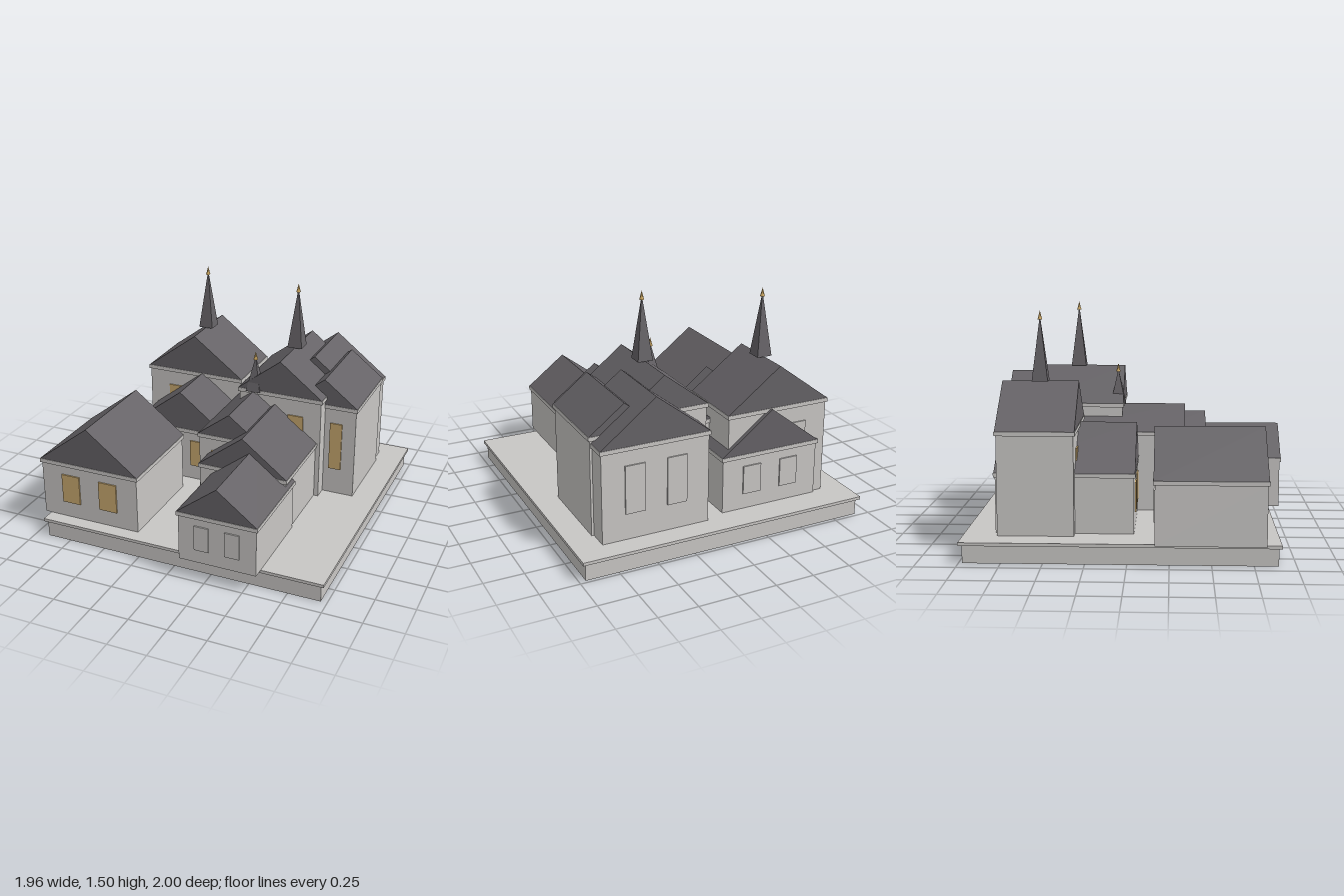
import * as THREE from 'three';

const mat = (name, color) => Object.assign(new THREE.MeshStandardMaterial({ color }), { name });

const GROUND = 0.13;

// x range, z range, eave height, ridge height, front window colour, spire height
const HOUSES = [
  { name: 'frontLeftHouse', x: [-0.98, -0.28], z: [0.155, 0.83], eave: 0.52, ridge: 0.787, lit: true },
  { name: 'middleLeftHouse', x: [-0.705, -0.015], z: [-0.82, 0.045], eave: 0.503, ridge: 0.768, lit: true },
  { name: 'backLeftHall', x: [-0.775, -0.06], z: [-0.8, -0.315], eave: 0.768, ridge: 1.035, lit: true, spire: 0.385 },
  { name: 'centralHall', x: [0.02, 0.612], z: [-0.695, -0.06], eave: 0.832, ridge: 1.06, lit: true, spire: 0.385 },
  { name: 'rightHall', x: [0.365, 0.825], z: [-0.735, -0.15], eave: 0.772, ridge: 0.947, lit: true },
  { name: 'backRightHall', x: [0.09, 0.81], z: [-0.865, -0.355], eave: 0.73, ridge: 1.008, lit: true },
  { name: 'centralChapel', x: [-0.088, 0.348], z: [-0.55, 0.35], eave: 0.657, ridge: 0.82, lit: true, spire: 0.22 },
  { name: 'frontWing', x: [-0.02, 0.582], z: [-0.2, 0.492], eave: 0.52, ridge: 0.75, lit: true },
  { name: 'frontPorch', x: [0.067, 0.593], z: [0.362, 0.995], eave: 0.46, ridge: 0.66, lit: false },
];

export function createModel() {
  const stone = mat('stone', 0xc8c6c4);
  const slate = mat('slate', 0x656266);
  const glow = mat('windowGlow', 0xc9a970);
  const gold = mat('gold', 0xc8a35c);

  const model = new THREE.Group();
  model.name = 'houseCluster';

  const add = (parent, name, geometry, material, x, y, z) => {
    const mesh = new THREE.Mesh(geometry, material);
    mesh.name = name;
    mesh.position.set(x, y, z);
    parent.add(mesh);
    return mesh;
  };
  const box = (parent, name, w, h, d, material, x, y, z) =>
    add(parent, name, new THREE.BoxGeometry(w, h, d), material, x, y, z);

  // Solid gable roof with its ridge along z
  const gable = (w, h, d) => {
    const s = new THREE.Shape();
    s.moveTo(-w / 2, 0).lineTo(w / 2, 0).lineTo(0, h).closePath();
    return new THREE.ExtrudeGeometry(s, { depth: d, bevelEnabled: false }).translate(0, 0, -d / 2);
  };

  // Square pyramid spire with a gold finial
  const addSpire = (parent, x, y, z, h) => {
    const cone = new THREE.CylinderGeometry(0.004, 0.05 * Math.SQRT2, h, 4, 1).rotateY(Math.PI / 4).toNonIndexed();
    cone.computeVertexNormals();
    add(parent, 'spire', cone, slate, x, y + h / 2, z);
    const tip = new THREE.ConeGeometry(0.015, 0.056, 6);
    add(parent, 'finial', tip, gold, x, y + h + 0.022, z);
  };

  // Stepped platform
  box(model, 'platformBase', 1.87, 0.112, 1.874, stone, 0.025, 0.056, -0.042);
  box(model, 'platformSlab', 1.91, 0.02, 1.912, stone, 0.025, 0.12, -0.044);

  for (const b of HOUSES) {
    const house = new THREE.Group();
    house.name = b.name;
    model.add(house);
    const w = b.x[1] - b.x[0], d = b.z[1] - b.z[0];
    const cx = (b.x[0] + b.x[1]) / 2, cz = (b.z[0] + b.z[1]) / 2;
    const cornice = 0.026, wallH = b.eave - cornice - GROUND;

    // Walls, eave band and roof
    box(house, 'walls', w - 0.02, wallH, d - 0.02, stone, cx, GROUND + wallH / 2, cz);
    box(house, 'cornice', w, cornice, d, stone, cx, b.eave - cornice / 2, cz);
    add(house, 'roof', gable(w - 0.006, b.ridge - b.eave, d - 0.006), slate, cx, b.eave, cz);

    // A pair of windows on the front and the back gable walls
    for (const end of [1, -1]) {
      for (const side of [-1, 1]) {
        box(house, end > 0 ? 'frontWindow' : 'backWindow', w * 0.18, wallH * 0.54, 0.009,
          end > 0 && b.lit ? glow : stone,
          cx + side * w * 0.19, GROUND + wallH * 0.565, cz + end * (d / 2 - 0.0055));
      }
    }
    if (b.spire) addSpire(house, cx, b.ridge, cz, b.spire);
  }
  return model;
}
